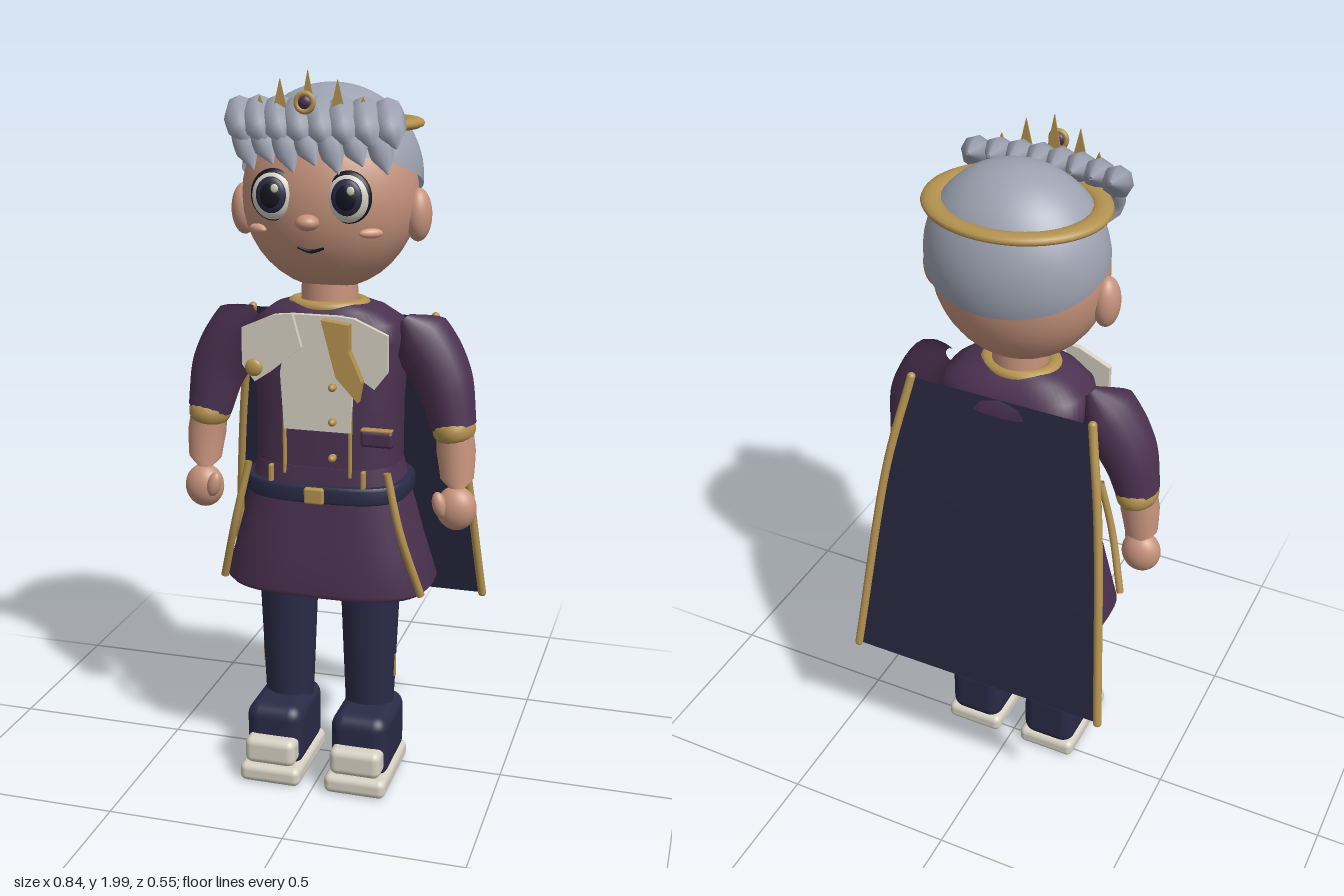
import * as THREE from 'three';
import { RoundedBoxGeometry } from 'three/addons/geometries/RoundedBoxGeometry.js';

const mat = (name, color, double) => {
  const m = new THREE.MeshStandardMaterial({ color });
  m.name = name;
  if (double) m.side = THREE.DoubleSide;
  return m;
};

export function createModel() {
  const model = new THREE.Group();
  const purple = mat('plum cloth', 0x4b3150);
  const navy = mat('navy cloth', 0x2a2b47);
  const capeCloth = mat('cape cloth', 0x28273f, true);
  const gold = mat('gold', 0xb3924f, true);
  const skin = mat('skin', 0xc6937c);
  const blush = mat('blush', 0xd6a085);
  const hair = mat('silver hair', 0x9da2b1, true);
  const cream = mat('cream', 0xd6d1c3);
  const dark = mat('dark', 0x15151f);

  const add = (name, geo, material, x = 0, y = 0, z = 0) => {
    const mesh = new THREE.Mesh(geo, material);
    mesh.name = name;
    mesh.position.set(x, y, z);
    model.add(mesh);
    return mesh;
  };
  const ball = (name, m, x, y, z, rx, ry, rz) =>
    add(name, new THREE.SphereGeometry(1, 32, 20).scale(rx, ry, rz), m, x, y, z);
  const box = (name, m, x, y, z, w, h, d, r = 0.01) =>
    add(name, new RoundedBoxGeometry(w, h, d, 4, r), m, x, y, z);
  const plate = (name, m, pts, z, depth) =>
    add(name, new THREE.ExtrudeGeometry(
      new THREE.Shape(pts.map(p => new THREE.Vector2(...p))),
      { depth, bevelEnabled: false }), m, 0, 0, z);

  // Tube whose radius follows a list of values along its path
  const taper = (name, m, pts, radii, squash = 1, sides = 16) => {
    const curve = new THREE.CatmullRomCurve3(pts.map(p => new THREE.Vector3(...p)));
    const n = 24;
    const geo = new THREE.TubeGeometry(curve, n, 1, sides);
    const pos = geo.attributes.position, v = new THREE.Vector3();
    for (let i = 0; i <= n; i++) {
      const c = curve.getPointAt(i / n);
      const f = (i / n) * (radii.length - 1), k = Math.min(Math.floor(f), radii.length - 2);
      const r = THREE.MathUtils.lerp(radii[k], radii[k + 1], f - k);
      for (let j = 0; j <= sides; j++) {
        const id = i * (sides + 1) + j;
        v.fromBufferAttribute(pos, id).sub(c).multiplyScalar(r);
        v.x *= squash;
        v.add(c);
        pos.setXYZ(id, v.x, v.y, v.z);
      }
    }
    return add(name, geo, m);
  };

  // Closed loft through rounded-rectangle rows [y, halfWidth, halfDepth, centreZ]
  const loft = (name, m, rows, power = 3) => {
    const n = 48, pos = [], idx = [];
    const all = [[rows[0][0], 0, 0, rows[0][3]], rows[0], ...rows, rows.at(-1), [rows.at(-1)[0], 0, 0, rows.at(-1)[3]]];
    for (const [y, rx, rz, cz] of all)
      for (let j = 0; j < n; j++) {
        const a = (j / n) * Math.PI * 2, c = Math.cos(a), s = Math.sin(a);
        pos.push(rx * Math.sign(c) * Math.abs(c) ** (2 / power), y, cz + rz * Math.sign(s) * Math.abs(s) ** (2 / power));
      }
    for (let i = 0; i < all.length - 1; i++)
      for (let j = 0; j < n; j++) {
        const a = i * n + j, b = i * n + (j + 1) % n;
        idx.push(a, a + n, b, b, a + n, b + n);
      }
    const geo = new THREE.BufferGeometry();
    geo.setAttribute('position', new THREE.Float32BufferAttribute(pos, 3));
    geo.setIndex(idx);
    geo.computeVertexNormals();
    return add(name, geo, m);
  };

  // Jacket, skirt, belt
  loft('jacket', purple, [[0.9, 0.2, 0.135, 0.032], [1.1, 0.2, 0.133, 0.03], [1.28, 0.215, 0.13, 0.03],
    [1.33, 0.2, 0.12, 0.035], [1.365, 0.15, 0.1, 0.045], [1.38, 0.1, 0.08, 0.045]]);
  loft('skirt', purple, [[0.57, 0.28, 0.175, 0.018], [0.585, 0.296, 0.182, 0.018], [0.7, 0.262, 0.168, 0.025],
    [0.85, 0.222, 0.148, 0.03], [0.94, 0.2, 0.137, 0.032]]);
  loft('belt', navy, [[0.845, 0.225, 0.16, 0.03], [0.852, 0.232, 0.165, 0.03], [0.885, 0.232, 0.165, 0.03], [0.893, 0.225, 0.16, 0.03]]);
  box('buckle', gold, 0, 0.868, 0.195, 0.055, 0.045, 0.02, 0.006);

  // Shirt front with buttons, tie and brooch
  plate('shirtFront', cream, [[-0.09, 1.045], [0.095, 1.045], [0.1, 1.2], [0.07, 1.36], [-0.07, 1.36], [-0.1, 1.2]], 0.155, 0.02);
  for (const y of [1.17, 1.075, 0.975]) ball('button', gold, 0.048, y, 0.182, 0.011, 0.011, 0.018);
  plate('tie', gold, [[0.03, 1.36], [0.105, 1.35], [0.105, 1.28], [0.14, 1.2], [0.13, 1.145], [0.07, 1.21]], 0.2, 0.03);
  ball('brooch', gold, -0.165, 1.215, 0.2, 0.024, 0.024, 0.012);
  box('pocket', purple, 0.165, 1.03, 0.155, 0.09, 0.045, 0.03);
  box('pocketTrim', gold, 0.165, 1.055, 0.16, 0.085, 0.006, 0.026, 0.002);

  // Neck and collar
  add('neck', new THREE.CylinderGeometry(0.075, 0.08, 0.16, 32), skin, 0, 1.38, 0.04);
  add('collar', new THREE.TorusGeometry(0.092, 0.022, 12, 40).rotateX(Math.PI / 2).scale(1, 0.8, 0.85), gold, 0, 1.37, 0.045);

  for (const s of [-1, 1]) {
    // Lapels and gold jacket edging
    plate('lapel', cream, [[0.06, 1.365], [0.11, 1.36], [0.2, 1.32], [0.2, 1.22], [0.165, 1.175], [0.12, 1.205], [0.035, 1.275]]
      .map(([x, y]) => [s * x, y]), 0.178, 0.016);
    box('jacketTrim', gold, s * 0.092, 1.01, 0.163, 0.01, 0.19, 0.012, 0.004);
    box('beltLoop', gold, s * 0.13, 0.915, 0.168, 0.012, 0.05, 0.02, 0.004);
    taper('skirtTrim', gold, [[s * 0.195, 0.94, 0.165], [s * 0.235, 0.77, 0.17], [s * 0.285, 0.585, 0.13]], [0.01, 0.011, 0.011]);

    // Arms
    taper('sleeve', purple, [[s * 0.205, 1.335, 0.035], [s * 0.265, 1.27, 0.037], [s * 0.32, 1.17, 0.04], [s * 0.35, 1.05, 0.045]],
      [0.02, 0.085, 0.085, 0.08, 0.07, 0.062]);
    const cuff = add('cuff', new THREE.TorusGeometry(0.05, 0.019, 12, 32).rotateX(Math.PI / 2).scale(0.85, 1.6, 1), gold, s * 0.35, 1.045, 0.045);
    cuff.rotation.z = s * 0.15;
    taper('forearm', skin, [[s * 0.35, 1.06, 0.047], [s * 0.36, 0.97, 0.052], [s * 0.366, 0.87, 0.06]],
      [0.05, 0.052, 0.054, 0.05, 0.046, 0.01]);
    ball('hand', skin, s * 0.365, 0.825, 0.064, 0.056, 0.062, 0.046);
    ball('thumb', skin, s * 0.325, 0.84, 0.095, 0.02, 0.037, 0.02).rotation.z = s * 0.25;

    // Legs and shoes
    add('leg', new THREE.CylinderGeometry(0.087, 0.068, 0.46, 32).scale(1, 1, 0.92), navy, s * 0.12, 0.4, 0.045);
    box('legMark', gold, s * 0.194, 0.33, 0.05, 0.008, 0.07, 0.008, 0.003);
    box('shoe', navy, s * 0.125, 0.13, 0.083, 0.165, 0.185, 0.24, 0.04);
    box('toeCap', cream, s * 0.125, 0.098, 0.195, 0.148, 0.08, 0.09, 0.022);
    box('sole', cream, s * 0.125, 0.028, 0.1, 0.178, 0.056, 0.285, 0.02);

    // Ears, eyes and cheeks
    ball('ear', skin, s * 0.24, 1.615, 0.035, 0.036, 0.07, 0.043);
    ball('eyeOutline', dark, s * 0.1, 1.677, 0.212, 0.061, 0.067, 0.022);
    ball('eyeWhite', cream, s * 0.1, 1.675, 0.216, 0.056, 0.062, 0.025);
    ball('iris', navy, s * 0.1, 1.678, 0.231, 0.041, 0.047, 0.015);
    ball('pupil', dark, s * 0.1, 1.678, 0.237, 0.03, 0.035, 0.012);
    ball('eyeGlint', cream, s * 0.1 + 0.014, 1.697, 0.247, 0.01, 0.011, 0.004);
    ball('cheek', blush, s * 0.152, 1.584, 0.187, 0.032, 0.013, 0.014).rotation.y = s * 0.6;
  }

  // Head, nose and mouth
  ball('head', skin, 0, 1.66, 0.035, 0.238, 0.25, 0.2);
  ball('nose', skin, 0, 1.613, 0.245, 0.031, 0.021, 0.03);
  taper('mouth', dark, [[-0.036, 1.545, 0.215], [0, 1.535, 0.213], [0.036, 1.545, 0.215]], [0.003, 0.005, 0.003]);

  // Hair cap, tilted so the hairline is higher at the front
  const cap = new THREE.SphereGeometry(1, 48, 24, 0, Math.PI * 2, 0, Math.PI / 2);
  cap.rotateX(-0.34).scale(0.245, 0.245, 0.205);
  add('hairCap', cap, hair, 0, 1.705, 0.015);

  // Fringe: a rolled upper row and pointed locks below it
  for (let i = 0; i < 8; i++) {
    const x = -0.205 + i * 0.056, curve = 0.9 * x * x;
    taper('fringeRoll', hair, [[x, 1.895, 0.13 - curve * 0.5], [x, 1.885, 0.19 - curve],
      [x + 0.02, 1.845, 0.24 - curve], [x + 0.035, 1.8, 0.235 - curve]], [0.005, 0.038, 0.043, 0.038, 0.004], 1, 8);
  }
  for (let i = 0; i < 7; i++) {
    const x = -0.195 + i * 0.06, curve = 1.2 * x * x;
    taper('fringeLock', hair, [[x, 1.86, 0.2 - curve], [x + 0.012, 1.81, 0.236 - curve],
      [x + 0.035, 1.735 + (i % 2) * 0.02, 0.236 - curve]], [0.02, 0.034, 0.03, 0.002], 1, 8);
  }

  // Crown band, spikes and front gem
  add('crownBand', new THREE.TorusGeometry(0.216, 0.029, 12, 64).rotateX(Math.PI / 2).scale(1, 0.5, 0.87), gold, 0, 1.847, 0.015);
  [[0, 1.99, 0.232], [0.075, 1.968, 0.225], [0.135, 1.925, 0.205]].forEach(([x, top, z]) => {
    for (const s of x ? [-1, 1] : [1])
      plate('crownSpike', gold, [[s * x - 0.026, 1.86], [s * x + 0.026, 1.86], [s * x, top]], z, 0.004);
  });
  add('gemRing', new THREE.TorusGeometry(0.022, 0.007, 10, 28), gold, 0, 1.912, 0.262);
  ball('gem', purple, 0, 1.912, 0.26, 0.018, 0.018, 0.012);

  // Cape with gold edges, bent at mid height
  const rows = [[0.265, 1.32, -0.088], [0.318, 1.05, -0.155], [0.385, 0.45, -0.265]];
  const cape = new THREE.PlaneGeometry(2, 1, 1, 2);
  rows.forEach(([x, y, z], i) => {
    cape.attributes.position.setXYZ(i * 2, -x, y, z);
    cape.attributes.position.setXYZ(i * 2 + 1, x, y, z);
  });
  cape.computeVertexNormals();
  add('cape', cape, capeCloth);
  for (const s of [-1, 1]) {
    taper('capeTrim', gold, rows.map(([x, y, z]) => [s * x, y, z]), [0.012, 0.012]);
    for (const [x, y, z] of [rows[0], rows[2]]) ball('capeTrimEnd', gold, s * x, y, z, 0.012, 0.012, 0.012);
  }
  return model;
}
